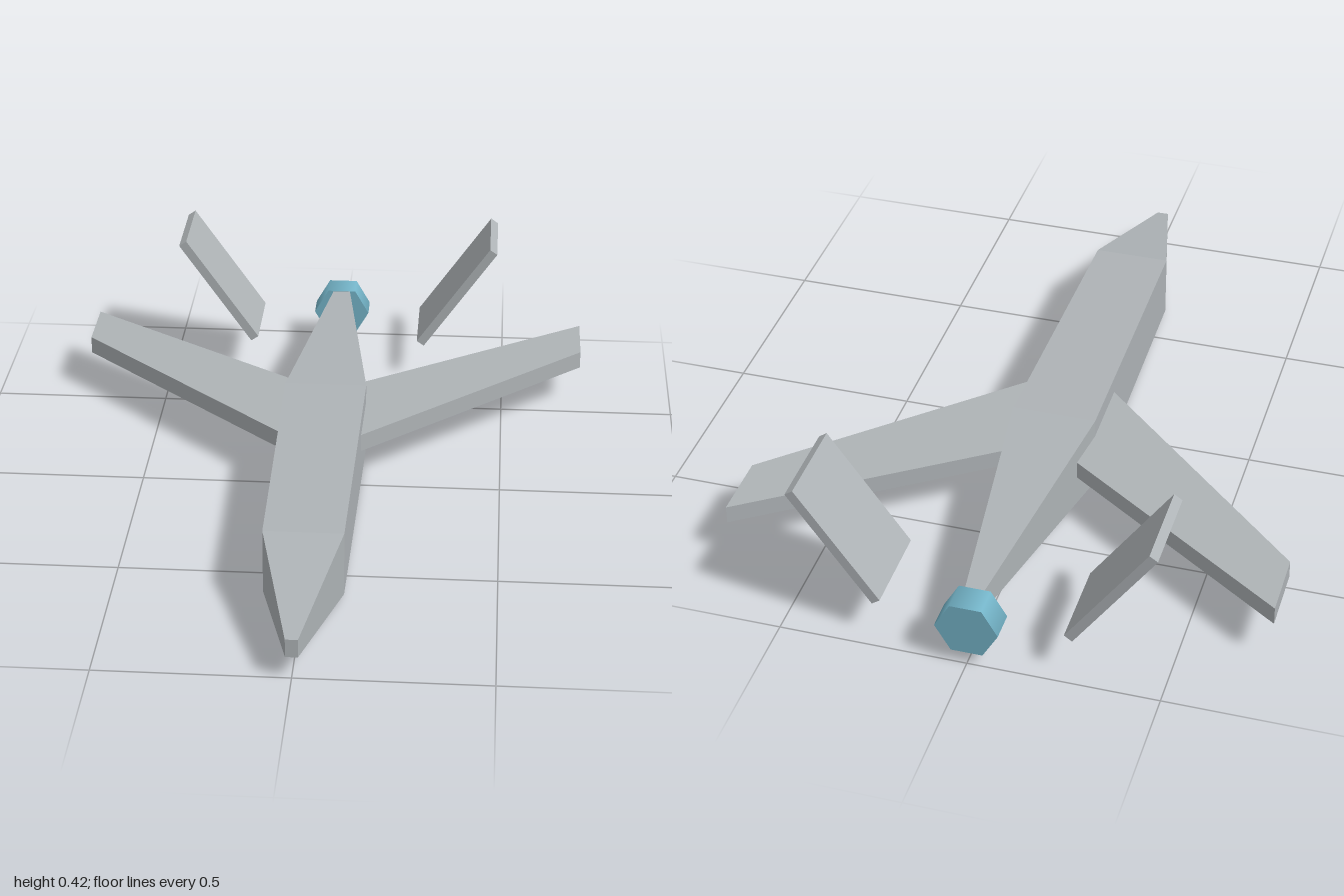
import * as THREE from 'three';

const grey = new THREE.MeshStandardMaterial({ color: 0xaeb3b6 });
grey.name = 'lightGrey';
const teal = new THREE.MeshStandardMaterial({ color: 0x74b4c8 });
teal.name = 'teal';

function add(group, name, geometry, material) {
  const mesh = new THREE.Mesh(geometry, material);
  mesh.name = name;
  group.add(mesh);
  return mesh;
}

// Flat-sided loft through rectangles [z, half width, bottom, top], from nose to tail
function rectLoft(sections) {
  const rings = sections.map(([z, w, b, t]) => [[w, b, z], [w, t, z], [-w, t, z], [-w, b, z]]);
  const pos = [];
  const quad = (a, b, c, d) => pos.push(...a, ...b, ...c, ...a, ...c, ...d);
  for (let i = 0; i < rings.length - 1; i++) {
    const f = rings[i], r = rings[i + 1];
    for (let k = 0; k < 4; k++) {
      const n = (k + 1) % 4;
      quad(f[k], r[k], r[n], f[n]);
    }
  }
  quad(...rings[0]);
  quad(...[...rings[rings.length - 1]].reverse());
  const geometry = new THREE.BufferGeometry();
  geometry.setAttribute('position', new THREE.Float32BufferAttribute(pos, 3));
  geometry.computeVertexNormals();
  return geometry;
}

// Swept wing: plan outline [x, z] extruded upwards
function wingGeometry(side) {
  const plan = [[0.1, 0.01], [0.73, -0.58], [0.73, -0.765], [0.1, -0.335]];
  const shape = new THREE.Shape(plan.map(([x, z]) => new THREE.Vector2(side * x, -z)));
  return new THREE.ExtrudeGeometry(shape, { depth: 0.05, bevelEnabled: false })
    .rotateX(-Math.PI / 2).translate(0, 0.107, 0);
}

export function createModel() {
  const model = new THREE.Group();
  model.name = 'aircraft';

  add(model, 'fuselage', rectLoft([
    [1.0, 0.016, 0.06, 0.11],
    [0.62, 0.105, 0.016, 0.195],
    [-0.21, 0.115, 0, 0.208],
    [-0.93, 0.024, 0.118, 0.178],
  ]), grey);

  // Hexagonal engine at the tail, corners pointing sideways
  const engine = new THREE.CylinderGeometry(0.083, 0.083, 0.08, 6, 1, false, Math.PI / 6);
  add(model, 'engine', engine.rotateX(Math.PI / 2), teal).position.set(0, 0.108, -0.96);

  for (const [side, label] of [[1, 'left'], [-1, 'right']]) {
    add(model, label + 'Wing', wingGeometry(side), grey);

    // Outward-leaning tail fin, standing clear of the body
    const fin = add(model, label + 'TailFin', new THREE.BoxGeometry(0.026, 0.372, 0.245), grey);
    fin.position.set(side * 0.358, 0.26, -0.835);
    fin.rotation.z = -side * 0.61;
  }
  return model;
}
